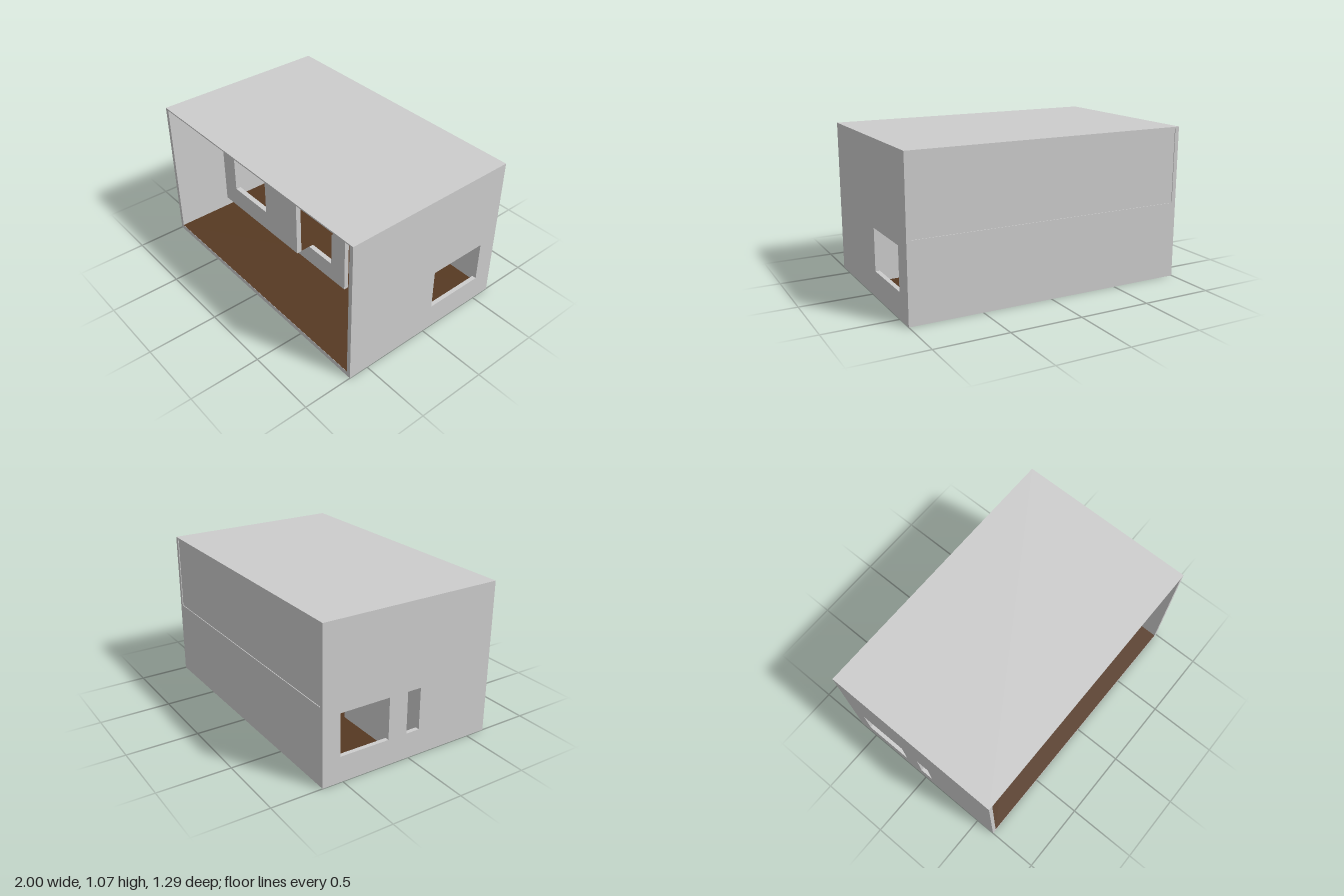
import * as THREE from 'three';

const plaster = new THREE.MeshStandardMaterial({ color: 0xcccccc });
plaster.name = 'plaster grey';
const wood = new THREE.MeshStandardMaterial({ color: 0x563922 });
wood.name = 'wood brown';

// Rectangle as a shape; each hole is [u0, u1, v0, v1]
function panelShape(u0, u1, v0, v1, holes) {
  const rect = (Type, a, b, c, d) => {
    const p = new Type();
    p.moveTo(a, c);
    p.lineTo(b, c);
    p.lineTo(b, d);
    p.lineTo(a, d);
    p.closePath();
    return p;
  };
  const shape = rect(THREE.Shape, u0, u1, v0, v1);
  for (const h of holes) shape.holes.push(rect(THREE.Path, ...h));
  return shape;
}

export function createModel() {
  const group = new THREE.Group();

  const add = (name, geometry, material = plaster) => {
    const mesh = new THREE.Mesh(geometry, material);
    mesh.name = name;
    group.add(mesh);
  };
  const box = (name, x0, x1, y0, y1, z0, z1) => {
    const g = new THREE.BoxGeometry(x1 - x0, y1 - y0, z1 - z0);
    g.translate((x0 + x1) / 2, (y0 + y1) / 2, (z0 + z1) / 2);
    add(name, g);
  };
  // Wall running along x, holes given as [x0, x1, y0, y1]
  const wallAlongX = (name, x0, x1, y0, y1, z0, z1, holes = []) => {
    const g = new THREE.ExtrudeGeometry(panelShape(x0, x1, y0, y1, holes),
      { depth: z1 - z0, bevelEnabled: false });
    g.translate(0, 0, z0);
    add(name, g);
  };
  // Wall running along z, holes given as [z0, z1, y0, y1]
  const wallAlongZ = (name, z0, z1, y0, y1, x0, x1, holes = []) => {
    const flipped = holes.map(([a, b, c, d]) => [-b, -a, c, d]);
    const g = new THREE.ExtrudeGeometry(panelShape(-z1, -z0, y0, y1, flipped),
      { depth: x1 - x0, bevelEnabled: false });
    g.rotateY(Math.PI / 2);
    g.translate(x0, 0, 0);
    add(name, g);
  };
  // Upward-facing floor covering
  const floor = (name, x0, x1, z0, z1, y) => {
    const g = new THREE.PlaneGeometry(x1 - x0, z1 - z0);
    g.rotateX(-Math.PI / 2);
    g.translate((x0 + x1) / 2, y, (z0 + z1) / 2);
    add(name, g, wood);
  };

  const SILL = 0.18, HEAD = 0.475;      // ground storey windows
  const SILL2 = 0.68, HEAD2 = 0.975;    // upper storey windows
  const MID = 0.537, TOP = 1.06;

  // Outer shell, open at the front
  box('groundSlab', -1, 1, 0, 0.035, -0.645, 0.645);
  box('roof', -1, 1, TOP, 1.07, -0.645, 0.645);
  box('lowerBackWall', -0.97, 0.97, 0.035, MID, -0.645, -0.61);
  box('upperBackWall', -0.97, 0.97, MID, TOP, -0.64, -0.605);
  wallAlongZ('leftOuterWall', -0.645, 0.645, 0.035, TOP, 0.97, 1,
    [[-0.505, -0.067, SILL, HEAD]]);
  wallAlongZ('rightOuterWall', -0.645, 0.645, 0.035, TOP, -1, -0.97,
    [[-0.52, -0.16, SILL, HEAD], [-0.02, 0.08, SILL, HEAD]]);

  // Floor coverings
  floor('groundFloor', -0.97, 0.97, -0.61, 0.645, 0.037);
  floor('upperFloor', -0.97, 0.97, -0.605, 0.15, 0.54);
  floor('upperBayFloor', -0.463, 0.34, 0.15, 0.53, 0.54);

  // Ground storey facade with two doorways and a window
  wallAlongX('lowerFacade', -0.97, 0.97, 0.01, MID, 0.13, 0.165, [
    [-0.433, -0.26, 0.02, HEAD],
    [-0.112, 0.247, SILL, HEAD],
    [0.39, 0.74, 0.02, HEAD],
  ]);

  // Upper storey facade with the bay in the middle
  wallAlongX('upperFacadeRight', -0.97, -0.44, MID, TOP, 0.13, 0.165,
    [[-0.885, -0.525, SILL2, HEAD2]]);
  wallAlongX('upperFacadeLeft', 0.312, 0.97, MID, TOP, 0.13, 0.165,
    [[0.34, 0.74, SILL2, 0.97]]);
  wallAlongX('bayFrontWall', -0.463, 0.34, MID, TOP, 0.498, 0.533,
    [[-0.335, 0.012, SILL2, HEAD2]]);
  box('baySideWall', -0.463, -0.43, MID, TOP, 0.04, 0.498);
  box('bayRearWall', -0.43, 0.14, MID, TOP, 0.01, 0.045);

  // Ground storey partitions
  box('smallRoomSideWall', -0.433, -0.4, 0.035, MID, -0.045, 0.13);
  box('smallRoomRearWall', -0.97, -0.4, 0.035, MID, -0.08, -0.045);
  box('partitionPost', 0.335, 0.37, 0.035, MID, -0.08, -0.045);
  box('rearPartition', 0.335, 0.37, 0.035, MID, -0.61, -0.37);

  return group;
}
